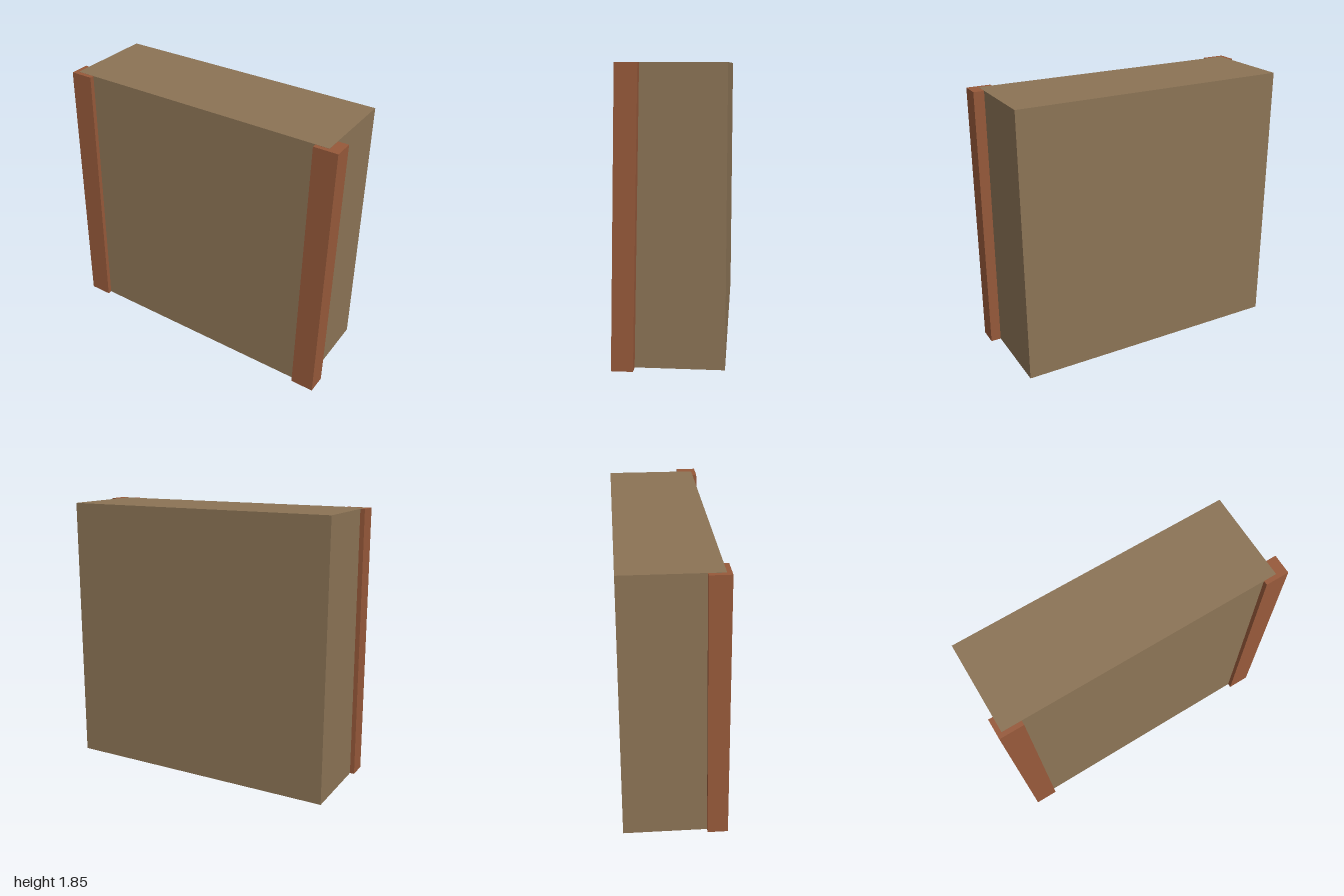
import * as THREE from 'three';

const HEIGHT = 1.85;
const LEAN = 0.045; // how far the front steps back from foot to top

// Open-bottomed box; vertices for which leans(z) holds step back towards the top
function battered(x0, x1, z0, z1, height, leans) {
  const geo = new THREE.BoxGeometry(x1 - x0, height, z1 - z0);
  geo.translate((x0 + x1) / 2, height / 2, (z0 + z1) / 2);
  const pos = geo.attributes.position;
  for (let i = 0; i < pos.count; i++) {
    if (leans(pos.getZ(i))) pos.setZ(i, pos.getZ(i) - (LEAN * pos.getY(i)) / HEIGHT);
  }
  // leave out the bottom face
  const index = Array.from(geo.index.array);
  index.splice(18, 6);
  geo.setIndex(index);
  geo.clearGroups();
  geo.computeVertexNormals();
  return geo;
}

function part(name, geometry, color) {
  const material = new THREE.MeshStandardMaterial({ color, side: THREE.DoubleSide });
  const mesh = new THREE.Mesh(geometry, material);
  mesh.name = name;
  return mesh;
}

export function createModel() {
  const model = new THREE.Group();
  model.name = 'wallBlock';

  // Main block: upright back, sloping front, set slightly towards -x
  model.add(part('wallBody', battered(-0.97, 0.93, -0.345, 0.315, HEIGHT, z => z > 0), 0x8b7355));

  // Leaning corner posts, a hair lower so the tops do not coincide
  for (const [name, x] of [['leftPost', 0.84], ['rightPost', -1]]) {
    model.add(part(name, battered(x, x + 0.16, 0.21, 0.345, HEIGHT - 0.001, () => true), 0x96593a));
  }
  return model;
}
